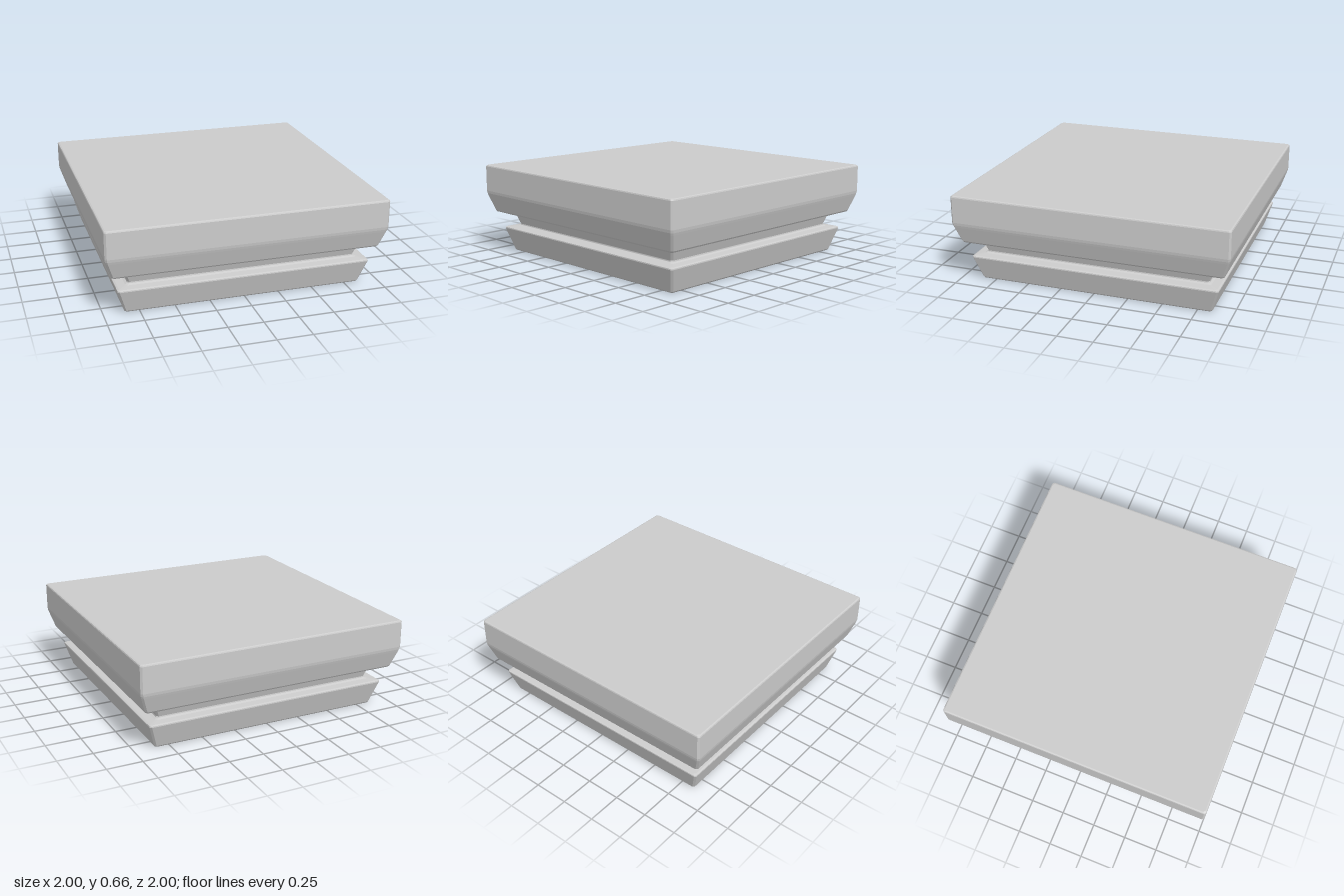
import * as THREE from 'three';

const material = new THREE.MeshStandardMaterial({ color: 0xcccccc, flatShading: true });

// Square slab with chamfered corners, lofted through [halfWidth, y] sections from bottom to top
function squareLoft(name, profile, chamfer = 0.013) {
  const positions = [];
  const index = [];
  for (const [w, y] of profile) {
    const c = w - chamfer;
    const ring = [[w, c], [w, -c], [c, -w], [-c, -w], [-w, -c], [-w, c], [-c, w], [c, w]];
    for (const [x, z] of ring) positions.push(x, y, z);
  }
  for (let r = 0; r < profile.length - 1; r++) {
    for (let i = 0; i < 8; i++) {
      const a = r * 8 + i;
      const b = r * 8 + ((i + 1) % 8);
      index.push(a, b, b + 8, a, b + 8, a + 8);
    }
  }
  // Bottom and top lids
  const top = (profile.length - 1) * 8;
  for (let i = 1; i < 7; i++) {
    index.push(0, i + 1, i);
    index.push(top, top + i, top + i + 1);
  }
  const geometry = new THREE.BufferGeometry();
  geometry.setAttribute('position', new THREE.Float32BufferAttribute(positions, 3));
  geometry.setIndex(index);
  geometry.computeVertexNormals();
  const mesh = new THREE.Mesh(geometry, material);
  mesh.name = name;
  return mesh;
}

export function createModel() {
  const group = new THREE.Group();
  group.name = 'squareCapital';

  // Lower flared block with bevelled rims
  group.add(squareLoft('lowerBlock', [
    [0.842, 0], [0.849, 0.003], [0.856, 0.012],
    [0.906, 0.175], [0.905, 0.183], [0.893, 0.188], [0.84, 0.193], [0.828, 0.198], [0.81, 0.205],
  ]));

  // Recessed neck that curves out under the slab
  group.add(squareLoft('neck', [
    [0.835, 0.19], [0.824, 0.198], [0.822, 0.208],
    [0.847, 0.28], [0.853, 0.29], [0.863, 0.297], [0.885, 0.302], [0.885, 0.32],
  ]));

  // Upper slab with sloping lower sides
  group.add(squareLoft('upperSlab', [
    [0.935, 0.3], [0.947, 0.304], [0.955, 0.315],
    [0.992, 0.428], [0.997, 0.445], [1, 0.465],
    [1, 0.65], [0.997, 0.658], [0.988, 0.662],
  ]));

  return group;
}
